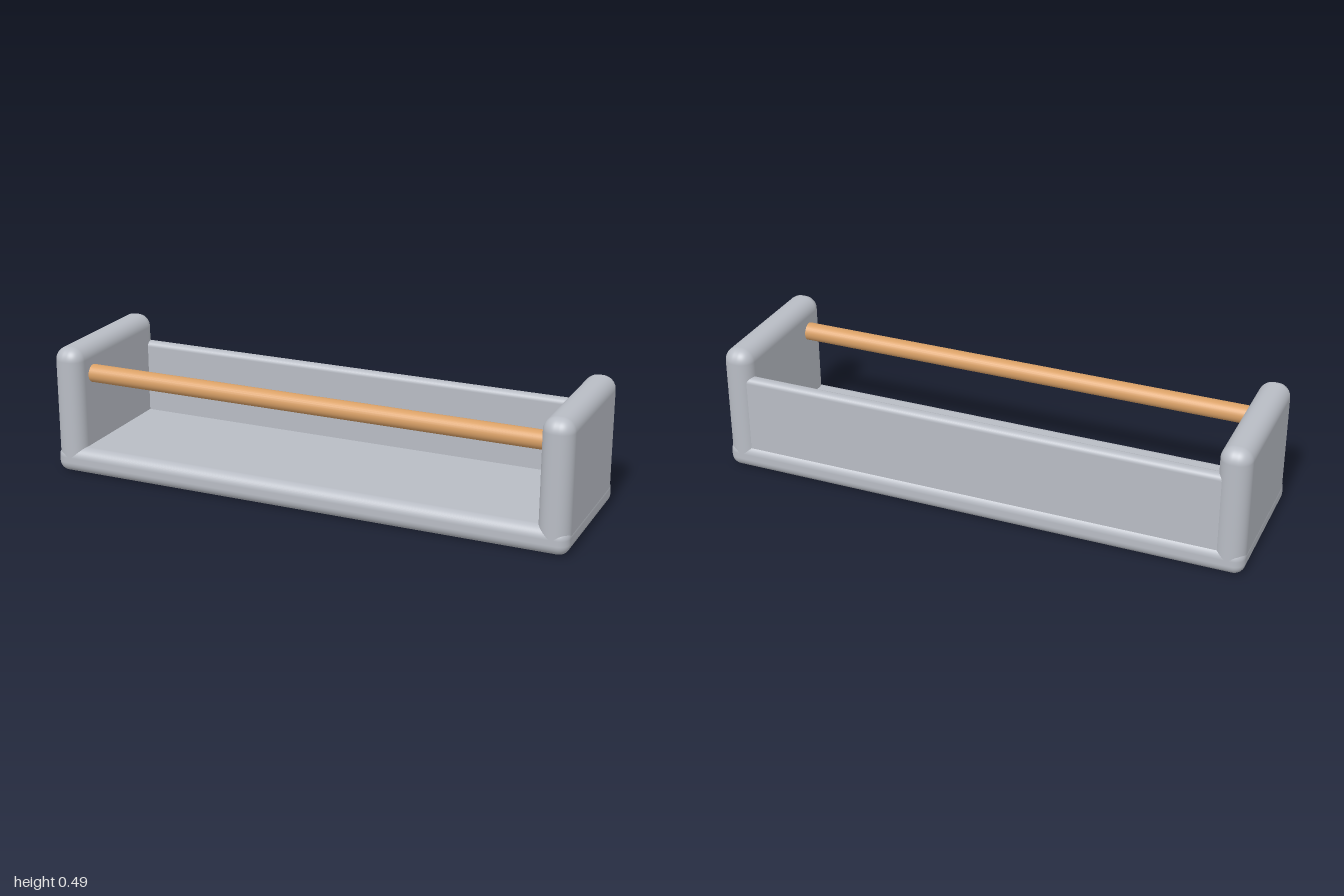
import * as THREE from 'three';
import { RoundedBoxGeometry } from 'three/addons/geometries/RoundedBoxGeometry.js';

export function createModel() {
  const model = new THREE.Group();
  model.name = 'railShelf';
  const grey = new THREE.MeshStandardMaterial({ color: 0xb8bcc4 });
  grey.name = 'grey';
  const wood = new THREE.MeshStandardMaterial({ color: 0xd9a066 });
  wood.name = 'wood';

  // Rounded board given by its minimum and maximum corners
  function board(name, min, max, radius) {
    const size = max.map((v, i) => v - min[i]);
    const mesh = new THREE.Mesh(new RoundedBoxGeometry(...size, 6, radius), grey);
    mesh.position.set(...max.map((v, i) => (v + min[i]) / 2));
    mesh.name = name;
    model.add(mesh);
  }

  // Bottom shelf and low back panel
  board('base', [-1, 0, -0.286], [1, 0.1, 0.286], 0.04);
  board('backPanel', [-0.95, 0.03, -0.275], [0.95, 0.38, -0.228], 0.02);

  // End panels
  board('leftEnd', [0.885, 0.01, -0.286], [0.999, 0.486, 0.286], 0.05);
  board('rightEnd', [-0.999, 0.01, -0.286], [-0.885, 0.486, 0.286], 0.05);

  // Front rail running between the ends
  const rail = new THREE.Mesh(new THREE.CylinderGeometry(0.034, 0.034, 1.86, 32), wood);
  rail.rotation.z = Math.PI / 2;
  rail.position.set(0, 0.374, 0.18);
  rail.name = 'frontRail';
  model.add(rail);

  return model;
}
